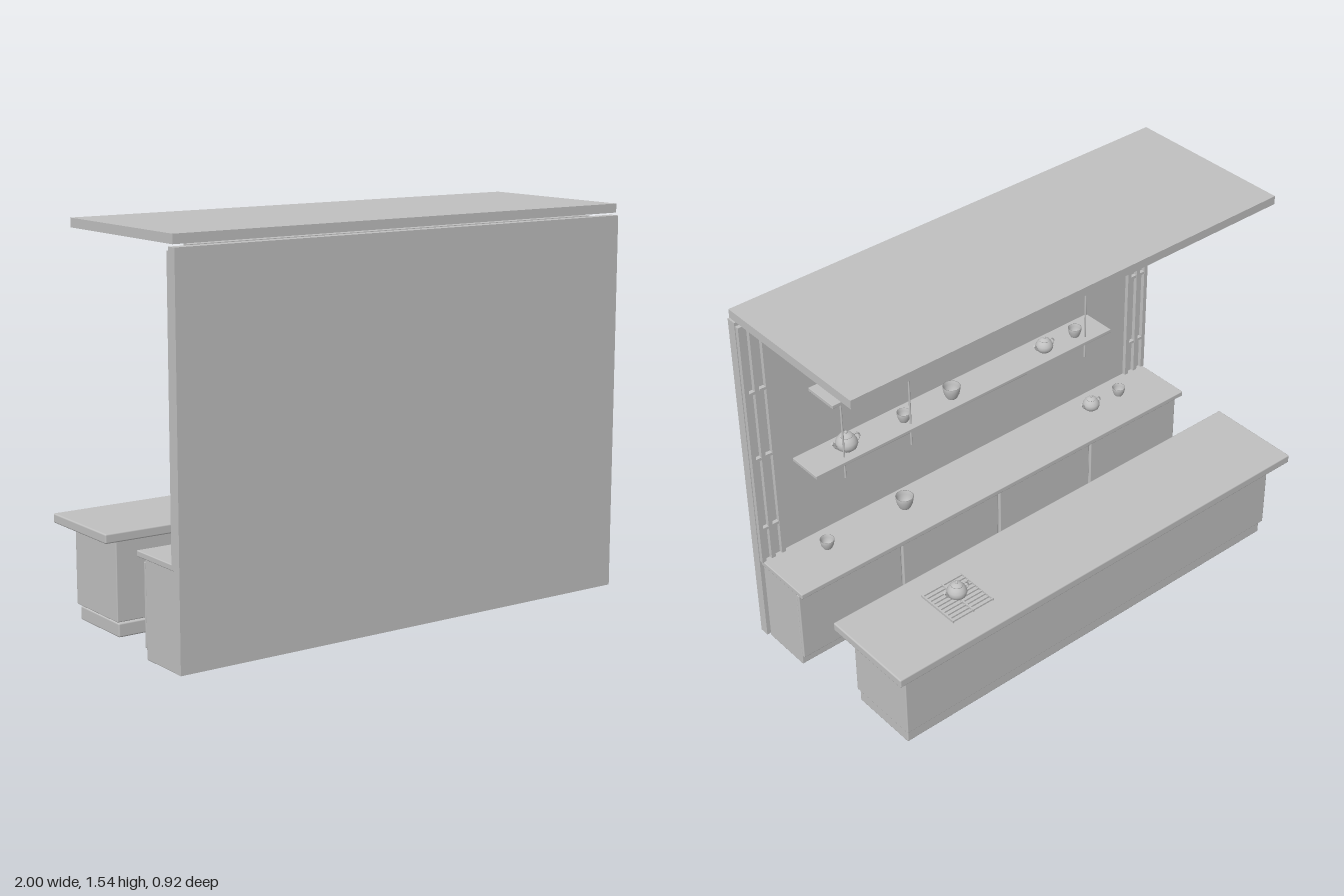
import * as THREE from 'three';
import { RoundedBoxGeometry } from 'three/addons/geometries/RoundedBoxGeometry.js';

const grey = new THREE.MeshStandardMaterial({ color: 0xc0c0c0 });
grey.name = 'light grey';

export function createModel() {
  const root = new THREE.Group();
  root.name = 'kitchen';

  const add = (name, geometry, parent = root) => {
    const mesh = new THREE.Mesh(geometry, grey);
    mesh.name = name;
    parent.add(mesh);
    return mesh;
  };

  // Box given by its limits on each axis, with optional rounded edges
  const box = (name, [x0, x1], [y0, y1], [z0, z1], r = 0) => {
    const size = [x1 - x0, y1 - y0, z1 - z0];
    const geometry = r ? new RoundedBoxGeometry(...size, 2, r) : new THREE.BoxGeometry(...size);
    const mesh = add(name, geometry);
    mesh.position.set((x0 + x1) / 2, (y0 + y1) / 2, (z0 + z1) / 2);
    return mesh;
  };

  const lathe = (points, r, h) =>
    new THREE.LatheGeometry(points.map(([x, y]) => new THREE.Vector2(x * r, y * h)), 28);

  // Wall, ceiling slab and light rail
  box('wall', [-1, 1], [0.015, 1.495], [0.42, 0.46]);
  box('ceiling', [-1, 1], [1.505, 1.54], [-0.262, 0.448]);
  box('lightRail', [-0.905, 0.905], [1.487, 1.495], [0.36, 0.4]);

  // Vertical slats with small clips at both ends of the wall
  for (const side of [-1, 1]) {
    for (const x of [0.897, 0.945, 0.988]) {
      box('wallSlat', [side * x - 0.009, side * x + 0.009], [0.395, 1.48], [0.403, 0.42]);
    }
    for (const y of [0.55, 0.88, 1.18]) {
      for (const x of [0.921, 0.967]) {
        box('slatClip', [side * x - 0.014, side * x + 0.014], [y - 0.006, y + 0.006], [0.404, 0.42]);
      }
    }
  }

  // Counter against the wall with four doors
  box('counterBody', [-0.985, 0.985], [0.004, 0.375], [0.203, 0.42], 0.004);
  box('counterTop', [-0.992, 0.992], [0.374, 0.397], [0.155, 0.42], 0.004);
  for (const x of [-0.742, -0.248, 0.248, 0.742]) {
    box('counterDoor', [x - 0.242, x + 0.242], [0.045, 0.362], [0.19, 0.206], 0.004);
  }

  // Island
  box('islandPlinth', [-0.93, 0.93], [0, 0.054], [-0.387, -0.095], 0.006);
  box('islandBody', [-0.938, 0.938], [0.06, 0.376], [-0.4, -0.09], 0.004);
  box('islandTop', [-1, 1], [0.374, 0.411], [-0.457, -0.055], 0.006);

  // Hob grate: long bars over three cross bars
  for (let i = 0; i < 10; i++) {
    const z = -0.34 + i * 0.02;
    box('grateBar', [0.475, 0.665], [0.412, 0.419], [z - 0.003, z + 0.003]);
  }
  for (const x of [0.475, 0.57, 0.665]) {
    box('grateCrossBar', [x - 0.003, x + 0.003], [0.411, 0.421], [-0.345, -0.155]);
  }

  // Hanging shelves and their rods
  box('upperShelf', [-0.548, 0.726], [1.079, 1.095], [0.255, 0.405], 0.002);
  box('lowerShelf', [-0.655, 0.82], [0.8, 0.815], [0.255, 0.405], 0.002);
  for (const x of [0.67, 0.355, -0.54]) {
    const rod = add('shelfRod', new THREE.CylinderGeometry(0.004, 0.004, 0.777, 12));
    rod.position.set(x, 1.104, 0.285);
  }

  // Teapot: turned body, lid with knob, spout and handle
  const teapot = (x, y, z, r) => {
    const pot = new THREE.Group();
    pot.name = 'teapot';
    pot.position.set(x, y, z);
    pot.scale.setScalar(r);
    root.add(pot);
    add('teapotBody', lathe([[0, 0], [0.55, 0], [0.62, 0.06], [0.88, 0.3], [1, 0.65], [0.95, 0.95],
      [0.78, 1.25], [0.56, 1.45], [0.5, 1.48], [0, 1.48]], 1, 1), pot);
    add('teapotLid', lathe([[0, 1.44], [0.58, 1.44], [0.58, 1.5], [0.4, 1.62], [0.12, 1.7], [0, 1.7]], 1, 1), pot);
    add('lidKnob', new THREE.SphereGeometry(0.14, 14, 10), pot).position.y = 1.8;
    const spoutPath = new THREE.CatmullRomCurve3([[0.8, 0.5], [1.15, 0.75], [1.3, 1.1], [1.5, 1.3]]
      .map(([a, b]) => new THREE.Vector3(a, b, 0)));
    add('teapotSpout', new THREE.TubeGeometry(spoutPath, 12, 0.14, 12), pot);
    const tip = add('spoutTip', new THREE.CircleGeometry(0.14, 12), pot);
    tip.position.set(1.5, 1.3, 0);
    tip.quaternion.setFromUnitVectors(new THREE.Vector3(0, 0, 1), spoutPath.getTangent(1));
    const handle = add('teapotHandle', new THREE.TorusGeometry(0.42, 0.08, 10, 20, Math.PI * 1.2), pot);
    handle.position.set(-0.95, 0.8, 0);
    handle.rotation.z = Math.PI * 0.4;
  };

  // Open cup with an inner wall and a flat floor
  const cup = (x, y, z, r, h) => {
    const mesh = add('cup', lathe([[0, 0], [0.6, 0], [0.64, 0.05], [0.84, 0.35], [0.95, 0.7], [1, 1],
      [0.92, 1], [0.86, 0.7], [0.74, 0.35], [0.5, 0.12], [0, 0.12]], r, h));
    mesh.position.set(x, y, z);
  };

  const z = 0.317;
  teapot(0.57, 0.42, -0.248, 0.039);
  teapot(-0.613, 0.397, z, 0.036);
  teapot(0.633, 0.815, z, 0.044);
  teapot(-0.35, 0.815, z, 0.036);
  teapot(-0.08, 1.095, z, 0.036);

  for (const [x, y, r, h] of [
    [0.754, 0.397, 0.029, 0.04], [0.377, 0.397, 0.037, 0.053], [-0.77, 0.397, 0.028, 0.038],
    [0.362, 0.815, 0.028, 0.04], [0.127, 0.815, 0.036, 0.052], [-0.513, 0.815, 0.028, 0.04],
    [0.505, 1.095, 0.029, 0.04], [0.263, 1.095, 0.037, 0.052], [-0.37, 1.095, 0.029, 0.04],
  ]) cup(x, y, z, r, h);

  return root;
}
